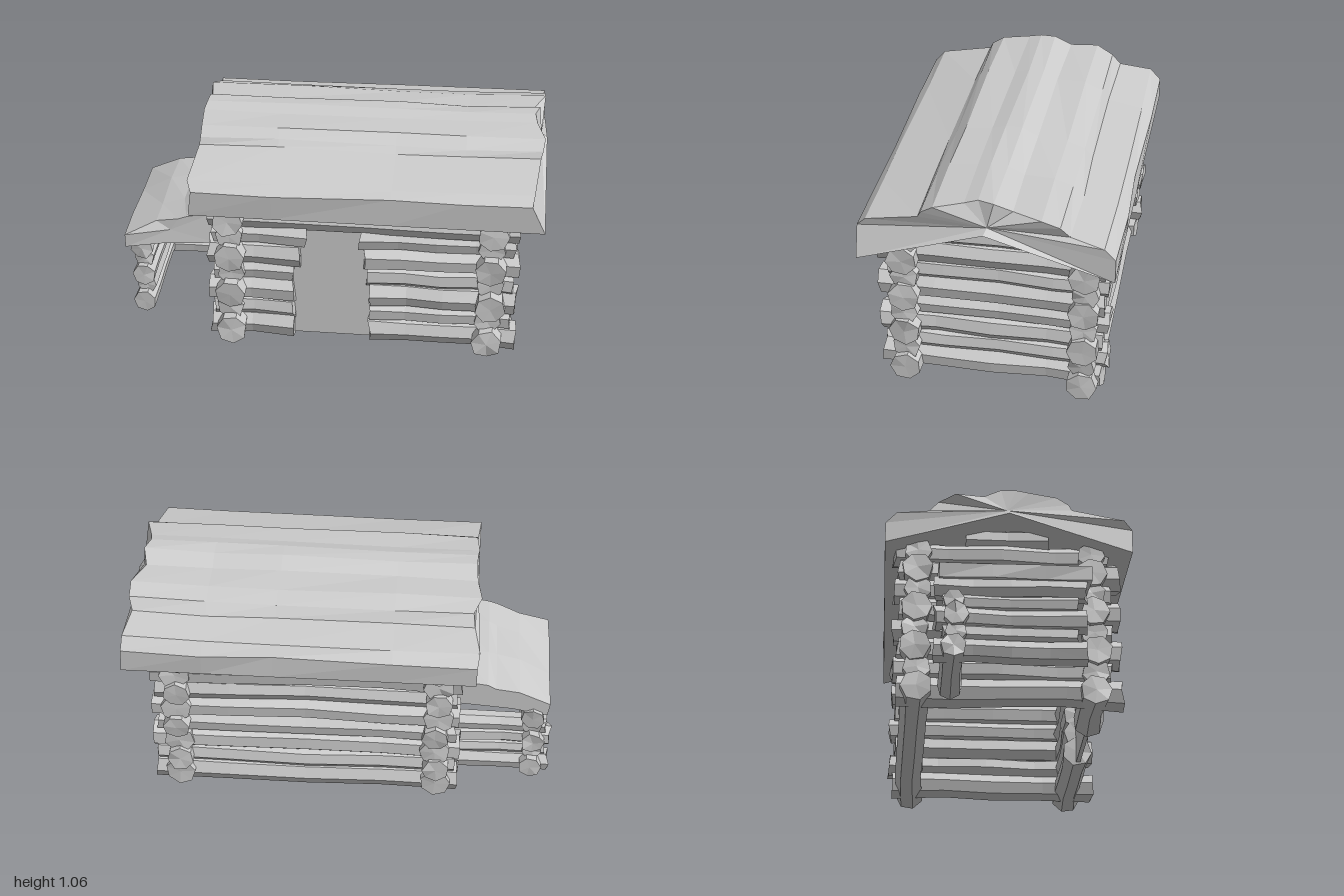
import * as THREE from 'three';

const material = new THREE.MeshStandardMaterial({ color: 0xcccccc, flatShading: true, side: THREE.DoubleSide });

// Small seeded generator, returns -1..1
let seed = 7;
function wobble(amount) {
  seed = (seed * 16807) % 2147483647;
  return ((seed / 2147483647) * 2 - 1) * amount;
}

// Joins a list of equally long closed rings and caps both ends
function loft(rings) {
  const n = rings[0].length;
  const tris = [];
  for (let i = 0; i < rings.length - 1; i++) {
    for (let j = 0; j < n; j++) {
      const k = (j + 1) % n;
      const a = rings[i][j], b = rings[i][k], c = rings[i + 1][k], d = rings[i + 1][j];
      tris.push([a, b, c], [a, c, d]);
    }
  }
  const cap = (ring, flip) => {
    const mid = ring.reduce((s, p) => s.add(p), new THREE.Vector3()).divideScalar(n);
    ring.forEach((p, j) => {
      const q = ring[(j + 1) % n];
      tris.push(flip ? [mid, q, p] : [mid, p, q]);
    });
  };
  cap(rings[0], true);
  cap(rings[rings.length - 1], false);
  // Turn the faces outward when the enclosed volume is negative
  const volume = tris.reduce((s, [a, b, c]) => s + a.dot(b.clone().cross(c)), 0);
  if (volume < 0) tris.forEach((t) => t.reverse());
  const geometry = new THREE.BufferGeometry().setFromPoints(tris.flat());
  geometry.computeVertexNormals();
  return geometry;
}

function add(parent, name, geometry) {
  const mesh = new THREE.Mesh(geometry, material);
  mesh.name = name;
  parent.add(mesh);
  return mesh;
}

// Rough seven-sided log along x or z, thick at its ends and slightly bent
function log(parent, name, axis, from, to, y, across, radius) {
  const sides = 7, steps = to - from > 0.6 ? 4 : 2;
  const turn = wobble(0.4);
  const rings = [];
  for (let i = 0; i <= steps; i++) {
    const end = i === 0 || i === steps;
    const along = from + ((to - from) * i) / steps;
    const r = radius * (end ? 1.03 : 0.93 + wobble(0.05));
    const bendY = end ? 0 : wobble(0.006), bendA = wobble(0.008);
    const ring = [];
    for (let j = 0; j < sides; j++) {
      const angle = turn + (j / sides) * Math.PI * 2;
      const u = across + bendA + Math.cos(angle) * r;
      const v = Math.max(0.003, y + bendY + Math.sin(angle) * r);
      const w = along + (end ? wobble(0.01) : 0);
      ring.push(axis === 'x' ? new THREE.Vector3(w, v, u) : new THREE.Vector3(u, v, w));
    }
    rings.push(ring);
  }
  add(parent, name, loft(rings));
}

function buildCabinWalls() {
  const walls = new THREE.Group();
  walls.name = 'cabinWalls';
  for (let i = 0; i < 8; i++) {
    const odd = i % 2;
    const r = odd ? 0.062 : 0.07;
    const y = 0.073 + i * 0.098;
    const left = odd ? -0.535 : -0.555, right = odd ? 0.865 : 0.885;
    log(walls, 'backWallLog', 'x', left, right, y, -0.42, r);

    // The front wall is split by the doorway, which narrows upward
    if (i < 6) {
      const doorLeft = [-0.16, -0.16, -0.16, -0.16, -0.13, -0.1][i];
      const doorRight = [0.2, 0.2, 0.2, 0.19, 0.17, 0.15][i];
      log(walls, 'frontWallLeftLog', 'x', left, doorLeft, y, 0.39, r);
      log(walls, 'frontWallRightLog', 'x', doorRight, right, y, 0.39, r);
    } else {
      log(walls, 'frontWallTopLog', 'x', left, right, y, 0.39, r);
    }

    // Side walls cross the corners, with staggered ends
    const front = odd ? 0.47 : 0.515, back = odd ? -0.525 : -0.5;
    for (const x of [-0.45, 0.76]) log(walls, 'sideWallLog', 'z', back, front, y + 0.012, x, r);
  }
  // Short logs filling the gables
  for (const x of [-0.45, 0.76]) log(walls, 'gableLog', 'z', -0.19, 0.19, 0.86, x, 0.055);
  return walls;
}

// Thick layered roof, cross-section given as [z, y]
function buildRoof() {
  const profile = [
    [0.565, 0.735], [0.57, 0.87], [0.53, 0.91], [0.29, 0.965], [0.275, 0.995], [0.22, 1.03],
    [0.09, 1.045], [0.03, 1.06], [-0.04, 1.06], [-0.12, 1.02], [-0.25, 1.018],
    [-0.33, 0.99], [-0.37, 0.94], [-0.52, 0.91], [-0.57, 0.86], [-0.57, 0.75], [0, 0.92],
  ];
  const stations = [-0.63, -0.24, 0.3, 0.62, 0.97];
  const rings = stations.map((x, i) => profile.map(([z, y], j) => {
    const under = j === 0 || j >= 15;
    let px = x;
    if (i === 0) px += under ? 0.01 : 0.015 + wobble(0.025);
    if (i === 4) px += under ? 0.02 : -0.015 + wobble(0.03);
    const middle = i > 0 && i < 4 && !under;
    const py = y + (middle ? wobble(0.007) - 0.008 : 0) - (i === 0 && !under ? 0.012 : 0);
    return new THREE.Vector3(px, py, z + (middle ? wobble(0.008) : 0));
  }));
  return loft(rings);
}

// Three-sided shed against the left wall, open at the front
function buildShed() {
  const shed = new THREE.Group();
  shed.name = 'sideShed';
  for (let i = 0; i < 5; i++) {
    const odd = i % 2;
    const r = odd ? 0.046 : 0.054;
    const y = 0.072 + i * 0.075;
    if (i < 4) log(shed, 'shedBackLog', 'x', odd ? -0.97 : -0.99, -0.53, y, -0.26, r);
    log(shed, 'shedSideLog', 'z', odd ? -0.31 : -0.345, odd ? 0.27 : 0.31, y + 0.008, -0.905, r);
  }
  // Sloping roof, cross-section given as [x, y]
  const profile = [
    [-0.97, 0.4], [-0.98, 0.465], [-0.83, 0.535], [-0.72, 0.56], [-0.68, 0.585],
    [-0.54, 0.6], [-0.54, 0.45], [-0.8, 0.43],
  ];
  const rings = [-0.33, -0.1, 0.13, 0.33].map((z, i) => profile.map(([x, y], j) => {
    const top = j > 1 && j < 6;
    const inset = top && i === 3 ? -0.03 + wobble(0.02) : 0;
    const dy = top ? wobble(0.01) - (i === 0 ? 0.015 : 0) : 0;
    return new THREE.Vector3(x + (j < 2 ? wobble(0.008) : 0), y + dy, z + inset);
  }));
  add(shed, 'shedRoof', loft(rings));
  return shed;
}

export function createModel() {
  seed = 7;
  const model = new THREE.Group();
  model.name = 'logCabin';
  model.add(buildCabinWalls());
  add(model, 'roof', buildRoof());
  model.add(buildShed());

  // Flat door panel set in the front wall
  const door = add(model, 'door', new THREE.BoxGeometry(0.42, 0.6, 0.02));
  door.position.set(0.02, 0.32, 0.39);
  return model;
}
